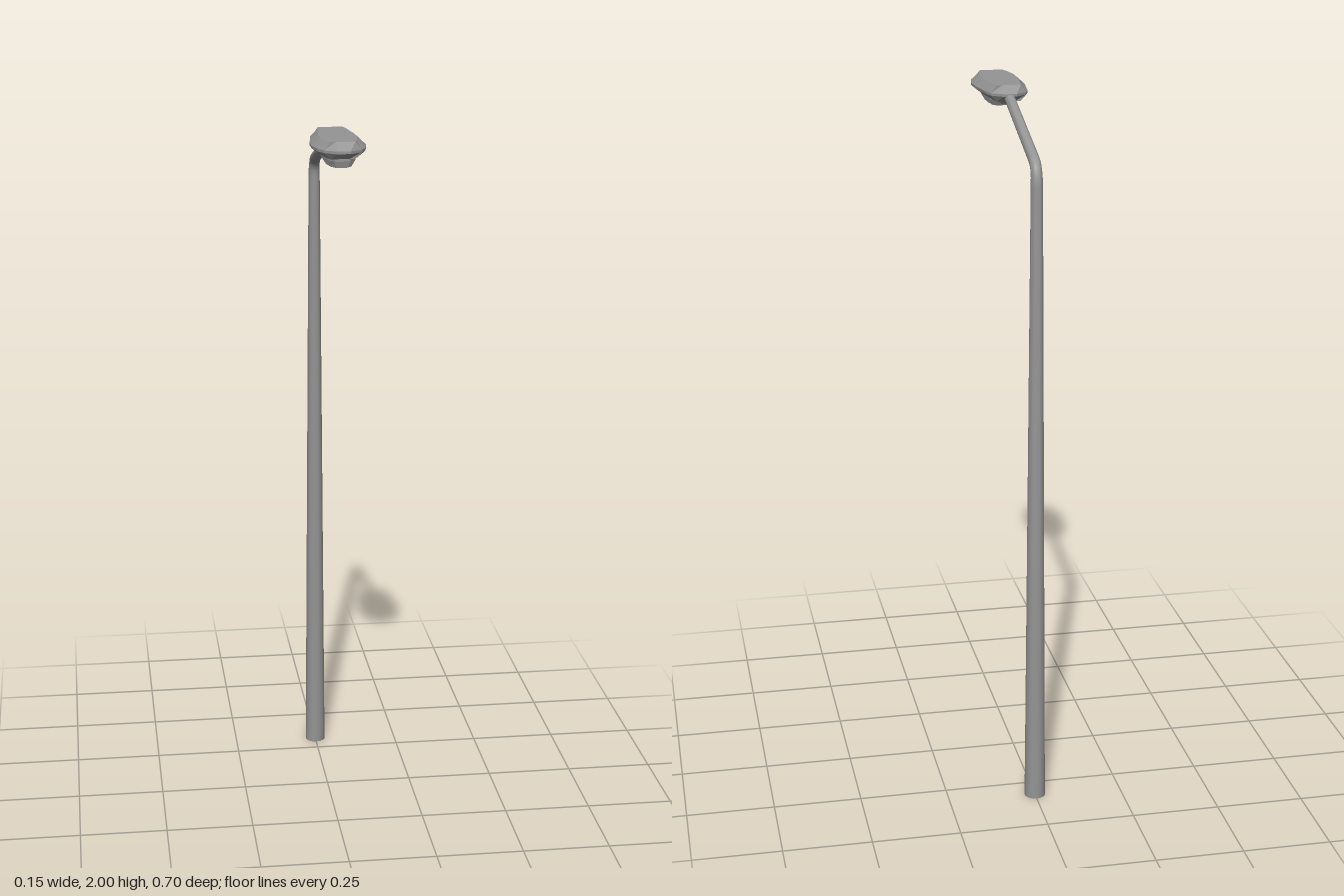
import * as THREE from 'three';
import { toCreasedNormals } from 'three/addons/utils/BufferGeometryUtils.js';

const poleMaterial = new THREE.MeshStandardMaterial({ color: 0x949494 });
const housingMaterial = new THREE.MeshStandardMaterial({ color: 0x949494, flatShading: true });
const lensMaterial = new THREE.MeshStandardMaterial({ color: 0xe8e8e8, flatShading: true });

// Closed solid through rings of points, each running anticlockwise about the direction of travel
function loft(rings) {
  const n = rings[0].length, pos = [], index = [];
  const centre = (ring) => ring.reduce((s, p) => s.add(p), new THREE.Vector3()).divideScalar(n);
  rings.flat().forEach((p) => pos.push(p.x, p.y, p.z));
  const last = rings.length - 1, c0 = rings.length * n, c1 = c0 + 1;
  pos.push(...centre(rings[0]).toArray(), ...centre(rings[last]).toArray());
  for (let j = 0; j < n; j++) {
    const k = (j + 1) % n;
    for (let i = 0; i < last; i++) {
      const a = i * n + j, b = i * n + k;
      index.push(a, b, b + n, a, b + n, a + n);
    }
    index.push(c0, k, j, c1, last * n + j, last * n + k);
  }
  const geometry = new THREE.BufferGeometry();
  geometry.setAttribute('position', new THREE.Float32BufferAttribute(pos, 3));
  geometry.setIndex(index);
  geometry.computeVertexNormals();
  return geometry;
}

// Horizontal ring from a right-hand outline of [half width, z], mirrored across x = 0
function outline(points, y) {
  const side = (s) => points.map(([x, z]) => new THREE.Vector3(s * x, y, z));
  return [...side(1), ...side(-1).reverse()];
}

function addMesh(group, name, geometry, material) {
  const mesh = new THREE.Mesh(geometry, material);
  mesh.name = name;
  group.add(mesh);
}

export function createModel() {
  const group = new THREE.Group();
  group.name = 'streetLamp';

  // Tapered pole bending into the sloping arm: [z, y, radius]
  const path = [
    [-0.32, 0, 0.03], [-0.32, 0.05, 0.0297], [-0.318, 1.8, 0.0165], [-0.316, 1.822, 0.016],
    [-0.309, 1.84, 0.0155], [-0.298, 1.852, 0.0155], [-0.28, 1.861, 0.0155], [0.08, 1.976, 0.0145],
  ];
  const SIDES = 16;
  const poleRings = path.map(([z, y, r], i) => {
    const a = path[Math.max(i - 1, 0)], b = path[Math.min(i + 1, path.length - 1)];
    const t = new THREE.Vector3(0, b[1] - a[1], b[0] - a[0]).normalize();
    const across = new THREE.Vector3(1, 0, 0);
    const up = t.clone().cross(across);
    return Array.from({ length: SIDES }, (_, j) => {
      const angle = (j / SIDES) * Math.PI * 2;
      return new THREE.Vector3(0, y, z)
        .addScaledVector(across, r * Math.cos(angle))
        .addScaledVector(up, r * Math.sin(angle));
    });
  });
  addMesh(group, 'poleAndArm', toCreasedNormals(loft(poleRings), 0.7), poleMaterial);

  // Faceted lamp housing: widest at the rim, chamfered above and below
  const rim = [[0.018, 0.036], [0.05, 0.062], [0.059, 0.09], [0.0715, 0.19], [0.073, 0.243],
    [0.063, 0.298], [0.05, 0.324], [0.018, 0.349]];
  const inset = [[0.018, 0.062], [0.034, 0.062], [0.039, 0.095], [0.049, 0.19], [0.049, 0.243],
    [0.041, 0.29], [0.033, 0.323], [0.018, 0.323]];
  addMesh(group, 'lampHousing',
    loft([outline(inset, 2), outline(rim, 1.979), outline(rim, 1.972), outline(inset, 1.955)]),
    housingMaterial);

  // Frame around the lens, with the pale lens bowl below it
  const lensTop = [[0.022, 0.125], [0.038, 0.14], [0.045, 0.2], [0.045, 0.243], [0.037, 0.295], [0.02, 0.322]];
  const lensBottom = [[0.018, 0.14], [0.028, 0.152], [0.034, 0.2], [0.034, 0.243], [0.028, 0.288], [0.016, 0.31]];
  addMesh(group, 'lensFrame',
    loft([outline(lensTop, 1.957), outline(lensTop, 1.948)]), housingMaterial);
  addMesh(group, 'lens',
    loft([outline(lensTop, 1.948), outline(lensBottom, 1.93)]), lensMaterial);

  // Shallow mounting block behind the lens
  addMesh(group, 'mountingBlock', loft([
    outline([[0.022, 0.055], [0.03, 0.14]], 1.965),
    outline([[0.018, 0.07], [0.026, 0.14]], 1.947),
  ]), housingMaterial);

  return group;
}
